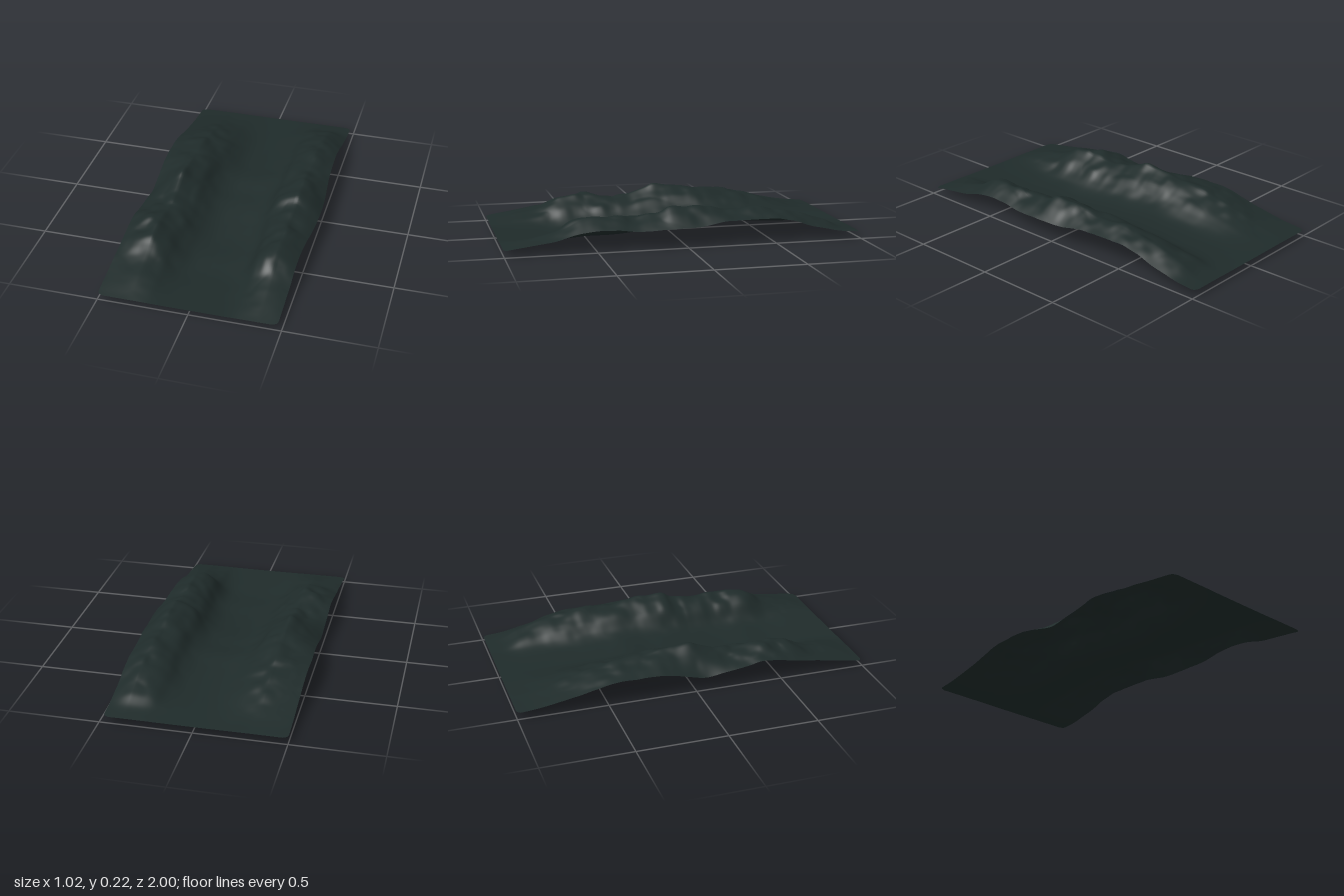
import * as THREE from 'three';

const { lerp, smoothstep, smootherstep } = THREE.MathUtils;

// Smooth curve through a few [position, value] pairs
function curve(pairs) {
  const spline = new THREE.CubicInterpolant(pairs.map(p => p[0]), pairs.map(p => p[1]), 1);
  return t => spline.evaluate(t)[0];
}

// Seeded value noise in the range -1..1
function hash(i, j) {
  const s = Math.sin(i * 127.1 + j * 311.7 + 4.2) * 43758.5453;
  return (s - Math.floor(s)) * 2 - 1;
}
function noise(x, z) {
  const i = Math.floor(x), j = Math.floor(z);
  const u = smootherstep(x - i, 0, 1), v = smootherstep(z - j, 0, 1);
  return lerp(lerp(hash(i, j), hash(i + 1, j), u), lerp(hash(i, j + 1), hash(i + 1, j + 1), u), v);
}

// Height of the valley floor along z
const floorHeight = curve([[-1, 0.04], [-0.8, 0.04], [-0.6, 0.042], [-0.4, 0.05], [-0.25, 0.06], [-0.1, 0.044],
  [0, 0.04], [0.2, 0.018], [0.35, 0.007], [0.5, 0.01], [0.65, 0.004], [0.8, 0.015], [1, 0.033]]);

// Each hillside along z: crest height, outer edge height and how far the inner slope steps back;
// and across x: the rise from the valley floor (0) to the crest (1)
const left = {
  crestAt: 0.32,
  crest: curve([[-1, 0.041], [-0.9, 0.053], [-0.75, 0.09], [-0.6, 0.135], [-0.4, 0.172], [-0.2, 0.19], [-0.08, 0.198],
    [0, 0.212], [0.08, 0.205], [0.2, 0.168], [0.45, 0.17], [0.6, 0.155], [0.7, 0.105], [0.85, 0.07], [1, 0.035]]),
  edge: curve([[-1, 0.04], [-0.85, 0.055], [-0.65, 0.095], [-0.43, 0.138], [-0.2, 0.136], [-0.05, 0.105], [0.06, 0.08],
    [0.15, 0.09], [0.4, 0.13], [0.56, 0.105], [0.7, 0.085], [0.85, 0.058], [1, 0.035]]),
  step: curve([[-0.4, 0], [-0.1, 0.025], [0.1, 0.03], [0.3, 0.015], [0.5, 0.045], [0.8, 0.04]]),
  rise: curve([[0, 0], [0.05, 0.03], [0.1, 0.16], [0.15, 0.38], [0.2, 0.66], [0.25, 0.83], [0.32, 1]])
};
const right = {
  crestAt: 0.37,
  crest: curve([[-1, 0.041], [-0.9, 0.06], [-0.8, 0.108], [-0.7, 0.138], [-0.5, 0.182], [-0.3, 0.19], [-0.1, 0.2],
    [0.08, 0.205], [0.2, 0.172], [0.4, 0.172], [0.6, 0.165], [0.7, 0.105], [0.8, 0.08], [1, 0.035]]),
  edge: curve([[-1, 0.04], [-0.85, 0.05], [-0.75, 0.068], [-0.6, 0.11], [-0.44, 0.135], [-0.23, 0.135], [-0.1, 0.118],
    [0.06, 0.12], [0.27, 0.105], [0.4, 0.115], [0.6, 0.098], [0.75, 0.065], [1, 0.035]]),
  step: curve([[0.2, 0], [0.5, 0.03], [0.8, 0.03]]),
  rise: curve([[0, 0], [0.08, 0.03], [0.15, 0.13], [0.2, 0.32], [0.25, 0.67], [0.3, 0.86], [0.37, 1]])
};

function height(x, z) {
  const side = x < 0 ? left : right;
  const d = Math.abs(x);
  const base = floorHeight(z), crest = side.crest(z);
  // Inner slope, then the outer slope falling from the crest to the edge
  const stepBack = side.step(z) * smoothstep(d, 0, 0.14) * (1 - smoothstep(d, 0.16, 0.36));
  const rise = side.rise(d - stepBack);
  const outer = Math.max(0, (d - side.crestAt) / (0.5 - side.crestAt));
  const slope = lerp(crest, side.edge(z), outer ** 1.3);
  // Spurs and gullies, fading out on the floor, at the rim and at both ends
  const rough = 0.09 * noise(x * 8 + 5, z * 7) + 0.07 * noise(x * 15, z * 14 + 7)
    - 0.07 * (1 - Math.abs(noise(x * 7 + z * 2, z * 6 - x * 3))) + 0.035;
  return base + (slope - base) * rise * (1 + rough * (1 - 0.5 * outer));
}

export function createModel() {
  const group = new THREE.Group();
  group.name = 'valleyTerrain';
  const ground = new THREE.MeshStandardMaterial({ name: 'darkSlate', color: 0x1f2b2a, side: THREE.DoubleSide });

  // Flat grid pushed up into a valley, with rounded corners and slightly bulging sides
  const geometry = new THREE.PlaneGeometry(2, 2, 100, 200).rotateX(-Math.PI / 2);
  const position = geometry.attributes.position;
  const radius = 0.03;
  let lowest = Infinity;
  for (let i = 0; i < position.count; i++) {
    const u = position.getX(i), z = position.getZ(i);
    const d = Math.max(0, Math.abs(z) - (1 - radius));
    const inset = radius - Math.sqrt(Math.max(0, radius * radius - d * d));
    const leftEdge = 0.5 + 0.008 * Math.exp(-(((z + 0.32) / 0.2) ** 2)) - inset;
    const rightEdge = 0.479 + 0.028 * Math.exp(-(((z - 0.06) / 0.3) ** 2)) - inset;
    const x = u < 0 ? u * leftEdge : u * rightEdge;
    const y = height(x, z);
    lowest = Math.min(lowest, y);
    position.setXYZ(i, x, y, z);
  }
  geometry.translate(0, -lowest, 0);
  geometry.computeVertexNormals();

  const terrain = new THREE.Mesh(geometry, ground);
  terrain.name = 'terrainSheet';
  group.add(terrain);
  return group;
}
